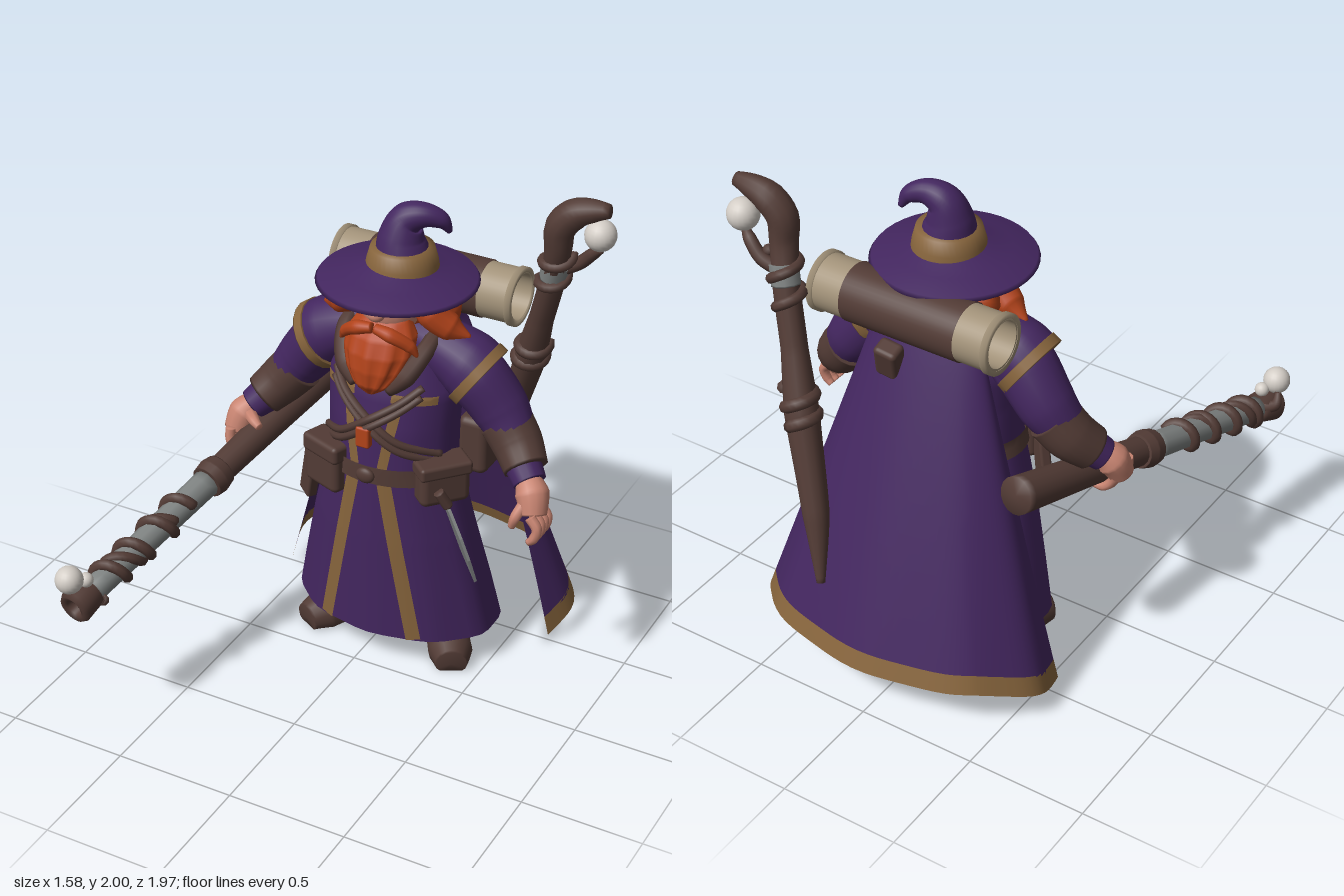
import * as THREE from 'three';
import { mergeVertices } from 'three/addons/utils/BufferGeometryUtils.js';
import { RoundedBoxGeometry } from 'three/addons/geometries/RoundedBoxGeometry.js';
import { ParametricGeometry } from 'three/addons/geometries/ParametricGeometry.js';

const CX = 0.055; // centre line of the figure
const V = (p) => new THREE.Vector3(...p);
const lerp = THREE.MathUtils.lerp;

// y, half width, half depth, centre z
const BODY = [
  [0.15, 0.44, 0.295, -0.305], [0.35, 0.40, 0.275, -0.285], [0.6, 0.345, 0.245, -0.255], [0.92, 0.268, 0.22, -0.235], [1.1, 0.27, 0.215, -0.24],
  [1.26, 0.28, 0.205, -0.255], [1.38, 0.25, 0.185, -0.275], [1.45, 0.18, 0.145, -0.275], [1.52, 0.08, 0.08, -0.25],
];
const BEARD = [
  [1.275, 0.015, 0.01, -0.03], [1.31, 0.065, 0.035, -0.03], [1.37, 0.11, 0.07, -0.06], [1.44, 0.14, 0.1, -0.1],
  [1.51, 0.14, 0.1, -0.13], [1.56, 0.11, 0.07, -0.15], [1.59, 0.1, 0.03, -0.16],
];

function section(list, y) {
  let i = 0;
  while (i < list.length - 2 && y > list[i + 1][0]) i++;
  const t = THREE.MathUtils.clamp((y - list[i][0]) / (list[i + 1][0] - list[i][0]), 0, 1);
  return [1, 2, 3].map((k) => lerp(list[i][k], list[i + 1][k], t));
}
const frontZ = (x, y) => {
  const [rx, rz, cz] = section(BODY, y);
  return cz + rz * Math.sqrt(Math.max(0, 1 - ((x - CX) / rx) ** 2));
};

// Elliptical loft between two heights, optionally grown outward
function loft(list, y0, y1, grow = 0, wave = 0, rows = 28) {
  return new ParametricGeometry((u, v, p) => {
    const y = lerp(y0, y1, v), a = -u * Math.PI * 2;
    const [rx, rz, cz] = section(list, y);
    const w = 1 + wave * (1 - v) * Math.cos(10 * a);
    p.set(CX + (rx * w + grow) * Math.sin(a), y, cz + (rz * w + grow) * Math.cos(a));
  }, 40, rows);
}

// Flat trim that follows the front of the robe
function trim(a, b, width) {
  const dir = new THREE.Vector2(b[0] - a[0], b[1] - a[1]).normalize();
  return new ParametricGeometry((u, v, p) => {
    const x = lerp(a[0], b[0], v) + dir.y * width * (u - 0.5);
    const y = lerp(a[1], b[1], v) - dir.x * width * (u - 0.5);
    p.set(x, y, frontZ(x, y) + 0.009);
  }, 4, 14);
}

// Tube with changing radius and closed ends
function sweep(points, radii, sides = 14, seg = points.length * 8) {
  const curve = new THREE.CatmullRomCurve3(points.map(V));
  const g = new THREE.TubeGeometry(curve, seg, 1, sides);
  const pos = g.attributes.position, v = new THREE.Vector3();
  for (let i = 0; i <= seg; i++) {
    const P = curve.getPointAt(i / seg);
    const k = curve.getUtoTmapping(i / seg) * (points.length - 1);
    const j = Math.min(Math.floor(k), points.length - 2);
    const end = i === 0 || i === seg;
    const r = end ? 0 : lerp(radii[j], radii[j + 1], k - j);
    const C = end ? curve.getPointAt(i === 0 ? 1 / seg : 1 - 1 / seg) : P;
    for (let s = 0; s <= sides; s++) {
      const n = i * (sides + 1) + s;
      v.fromBufferAttribute(pos, n).sub(P).multiplyScalar(r).add(C);
      pos.setXYZ(n, v.x, v.y, v.z);
    }
  }
  g.deleteAttribute('uv');
  g.deleteAttribute('normal');
  const m = mergeVertices(g, 1e-5);
  m.computeVertexNormals();
  return m;
}

// Vine winding round a straight line
function vine(a, b, radius, turns, thick) {
  const A = V(a), B = V(b), d = B.clone().sub(A).normalize();
  const n = new THREE.Vector3(0, 1, 0).cross(d).normalize(), m = d.clone().cross(n);
  const pts = [];
  for (let i = 0, N = turns * 10; i <= N; i++) {
    const t = (i / 10) * Math.PI * 2;
    pts.push(A.clone().lerp(B, i / N).addScaledVector(n, radius * Math.cos(t)).addScaledVector(m, radius * Math.sin(t)).toArray());
  }
  return sweep(pts, pts.map(() => thick), 8, pts.length * 2);
}

export function createModel() {
  const model = new THREE.Group();
  const mat = (name, color) => new THREE.MeshStandardMaterial({ name, color, side: THREE.DoubleSide });
  const purple = mat('purple cloth', 0x43265f), brown = mat('brown leather', 0x523b35), gold = mat('gold trim', 0x86643c);
  const tan = mat('tan canvas', 0xa3937a), skin = mat('skin', 0xc98572), orange = mat('orange hair', 0xb2431a);
  const steel = mat('steel', 0x7f8382), pearl = mat('pearl', 0xd3cdc6), dark = mat('dark', 0x2c1f1f);
  const add = (name, geo, m, at = [0, 0, 0], rot = [0, 0, 0], scale = [1, 1, 1]) => {
    const mesh = new THREE.Mesh(geo, m);
    mesh.name = name;
    mesh.position.set(...at); mesh.rotation.set(...rot); mesh.scale.set(...scale);
    model.add(mesh);
    return mesh;
  };
  const ball = (r) => new THREE.SphereGeometry(r, 20, 14);
  const box = (w, h, d) => new RoundedBoxGeometry(w, h, d, 3, Math.min(w, h, d) * 0.25);
  const lathe = (pts) => new THREE.LatheGeometry(pts.map((p) => new THREE.Vector2(...p)), 40);

  // Robe, belt and front trim
  add('robe', loft(BODY, 0.15, 1.52, 0, 0.012), purple);
  add('belt', loft(BODY, 0.88, 0.955, 0.014, 0, 2), brown);
  add('buckle', ball(0.04), brown, [CX, 0.92, 0.01], [0, 0, 0], [1, 0.85, 0.5]);
  for (const s of [-1, 1]) {
    const X = (d) => CX + s * d;
    add('skirtTrim', trim([X(0.2), 0.16], [X(0.07), 0.88], 0.058), gold);
    add('lapelTrim', trim([X(0.06), 0.95], [X(0.11), 1.25], 0.04), gold);
    add('chestTrim', trim([X(0.08), 1.26], [X(0.24), 1.25], 0.035), gold);
    // Straps crossing over the chest and running over the shoulder
    const strap = [[-0.26, 1.0], [-0.12, 1.08], [0, 1.17], [0.12, 1.25], [0.2, 1.32]];
    for (const off of [0, 0.035]) {
      add('chestStrap', sweep(strap.map(([d, y], i) => [X(d), y - off, frontZ(X(d), y - off) + 0.015 + (s > 0 ? 0.02 : 0.008) * (i === 2 ? 1.5 : 0.4)]),
        strap.map(() => 0.016), 8), brown);
    }
    add('shoulderStrap', sweep([[X(0.06), 1.29, -0.04], [X(0.13), 1.36, -0.07], [X(0.18), 1.46, -0.16], [X(0.18), 1.49, -0.27], [X(0.17), 1.44, -0.42]],
      [0.025, 0.04, 0.035, 0.035, 0.035], 8), brown);

    // Shoulder caps, arms and bracers
    add('shoulderCap', sweep([[X(0.03), 1.45, -0.27], [X(0.18), 1.42, -0.27], [X(0.3), 1.37, -0.27], [X(0.36), 1.325, -0.27]], [0.08, 0.115, 0.135, 0.138], 20), purple);
    add('shoulderTrim', sweep([[X(0.325), 1.348, -0.27], [X(0.365), 1.32, -0.27]], [0.145, 0.145], 20), gold);
    add('sleeve', sweep([[X(0.25), 1.38, -0.27], [X(0.34), 1.31, -0.28], [X(0.44), 1.19, -0.29], [X(0.53), 1.07, -0.26]], [0.12, 0.125, 0.113, 0.085], 18), purple);
    add('bracer', sweep([[X(0.455), 1.155, -0.29], [X(0.525), 1.075, -0.265], [X(0.595), 1.0, -0.21]], [0.108, 0.102, 0.088], 18), brown);
    add('cuff', sweep([[X(0.57), 1.02, -0.22], [X(0.625), 0.965, -0.18]], [0.078, 0.066], 16), purple);
    add('palm', sweep([[X(0.6), 0.99, -0.19], [X(0.645), 0.94, -0.155], [X(0.67), 0.86, -0.12]], [0.045, 0.068, 0.052], 14), skin);

    // Boots
    add('bootLeg', sweep([[X(0.205), 0.35, -0.3], [X(0.205), 0.16, -0.31], [X(0.21), 0.05, -0.31]], [0.09, 0.078, 0.085]), brown);
    const foot = sweep([[X(0.19), 0.055, -0.38], [X(0.235), 0.06, -0.28], [X(0.3), 0.045, -0.18], [X(0.345), 0.035, -0.1]], [0.06, 0.088, 0.092, 0.06], 16);
    const p = foot.attributes.position;
    for (let i = 0; i < p.count; i++) p.setY(i, Math.max(0, p.getY(i)));
    foot.computeVertexNormals();
    add('foot', foot, brown);

    // Face details and side hair
    add('eye', ball(0.012), dark, [X(0.045), 1.637, -0.082], [0, s * 0.35, 0], [1, 0.5, 0.3]);
    add('eyebrow', sweep([[X(0.018), 1.65, -0.077], [X(0.06), 1.667, -0.085], [X(0.11), 1.645, -0.12]], [0.008, 0.012, 0.005], 8), orange);
    add('moustache', sweep([[X(0.0), 1.55, -0.055], [X(0.07), 1.535, -0.055], [X(0.14), 1.485, -0.09], [X(0.17), 1.44, -0.1]], [0.02, 0.03, 0.025, 0.004], 10), orange);
    add('sideHair', sweep([[X(0.13), 1.66, -0.21], [X(0.17), 1.59, -0.21], [X(0.24), 1.53, -0.23], [X(0.325), 1.495, -0.25]], [0.045, 0.066, 0.056, 0.004], 12), orange);
    add('backHair', sweep([[X(0.12), 1.66, -0.27], [X(0.16), 1.56, -0.33], [X(0.17), 1.46, -0.4]], [0.06, 0.08, 0.02], 12), orange);
  }

  // Fingers: relaxed left hand, right hand gripping the staff
  for (let i = 0; i < 4; i++) {
    const z = -0.17 + i * 0.033;
    add('leftFinger', sweep([[0.73, 0.89, z], [0.765, 0.845, z + 0.005], [0.755, 0.8, z + 0.01], [0.73, 0.775, z + 0.01]], [0.022, 0.021, 0.019, 0.014], 8), skin);
    add('rightFinger', sweep([[-0.61, 0.91, z], [-0.605, 0.85, z + 0.01], [-0.56, 0.8, z + 0.01], [-0.51, 0.795, z + 0.01]], [0.022, 0.021, 0.019, 0.014], 8), skin);
  }
  add('leftThumb', sweep([[0.69, 0.92, -0.12], [0.665, 0.86, -0.08], [0.65, 0.81, -0.08]], [0.025, 0.022, 0.014], 8), skin);
  add('rightThumb', sweep([[-0.56, 0.95, -0.14], [-0.51, 0.955, -0.09], [-0.47, 0.94, -0.07]], [0.03, 0.024, 0.015], 8), skin);

  // Head, beard and hair
  add('head', ball(0.125), skin, [CX, 1.6, -0.2], [0, 0, 0], [1, 1.05, 1]);
  add('nose', ball(0.034), skin, [CX, 1.6, -0.075], [0, 0, 0], [1.05, 0.9, 1]);
  add('beard', loft(BEARD, 1.275, 1.59, 0, 0.08, 20), orange);
  add('beardBead', box(0.06, 0.09, 0.04), orange, [CX - 0.005, 1.1, 0.012]);
  add('hair', ball(0.16), orange, [CX, 1.58, -0.3], [0, 0, 0], [1, 0.85, 0.85]);

  // Hat with curled tip
  add('hatBrim', lathe([[0.001, 1.665], [0.2, 1.675], [0.3, 1.668], [0.32, 1.674], [0.31, 1.688], [0.22, 1.712], [0.15, 1.735], [0.1, 1.755]]), purple, [CX, 0, -0.25]);
  add('hatBand', lathe([[0.144, 1.73], [0.14, 1.755], [0.125, 1.81], [0.09, 1.813]]), gold, [CX + 0.012, 0, -0.265]);
  add('hatCrown', sweep([[0.068, 1.75, -0.267], [0.06, 1.85, -0.27], [0.08, 1.92, -0.28], [0.145, 1.945, -0.295], [0.205, 1.925, -0.32], [0.235, 1.87, -0.34]],
    [0.118, 0.09, 0.067, 0.049, 0.034, 0.008], 20), purple);

  // Cape with gold hem
  const capePoint = (u, t, p, grow) => {
    const a = (0.5 - u) * 2 * lerp(1.65, 1.88, t), c = Math.cos(a);
    const bottom = 0.05 + 0.135 * THREE.MathUtils.clamp(c + 0.31, 0, 1);
    const r = 1 + 0.012 * t * Math.cos(a * 9);
    p.set(CX + lerp(0.225, 0.645, t) * Math.sin(a) * r, lerp(1.48, bottom, t), lerp(-0.42, -0.585, t) - (lerp(0.05, 0.39, t ** 0.9) + grow) * c * r);
  };
  const cape = (t0, t1, rows, grow = 0) => new ParametricGeometry((u, v, p) => capePoint(u, lerp(t0, t1, v), p, grow), 48, rows);
  add('cape', cape(0, 0.95, 20), purple);
  add('capeHem', cape(0.943, 1, 2, 0.003), gold);
  add('capePouch', box(0.1, 0.15, 0.08), brown, [CX + 0.1, 1.34, -0.54], [-0.3, 0, 0.15]);

  // Hollow bedroll
  const roll = (name, y0, y1, r, m) => add(name, lathe([[r - 0.02, y0], [r, y0], [r, y1], [r - 0.02, y1], [r - 0.02, y0]]), m, [0.065, 1.57, -0.515], [0, 0, -Math.PI / 2]);
  roll('bedrollCanvas', -0.395, 0.395, 0.112, tan);
  roll('bedrollCover', -0.25, 0.25, 0.117, brown);
  for (const s of [-1, 1]) roll('bedrollRim', s * 0.385 - 0.012, s * 0.385 + 0.012, 0.12, tan);

  // Pouches, sheath and knife
  add('frontPouch', box(0.19, 0.2, 0.11), brown, [-0.15, 0.88, -0.07], [0, -0.35, 0]);
  add('pouchFlap', box(0.2, 0.08, 0.12), brown, [-0.15, 0.96, -0.068], [0, -0.35, 0]);
  add('sidePouch', box(0.21, 0.18, 0.12), brown, [0.32, 0.905, -0.13], [0, 0.85, 0]);
  add('sidePouchFlap', box(0.22, 0.06, 0.13), brown, [0.32, 0.97, -0.13], [0, 0.85, 0]);
  add('backPouch', box(0.13, 0.25, 0.16), brown, [0.35, 0.955, -0.405]);
  add('sheath', box(0.08, 0.25, 0.045), brown, [-0.275, 0.765, -0.14], [0, -0.6, -0.25]);
  const blade = new THREE.Shape([[-0.035, 0], [0.04, 0], [0.065, -0.12], [0.06, -0.22], [0.02, -0.33], [-0.04, -0.2]].map((p) => new THREE.Vector2(...p)));
  add('knifeBlade', new THREE.ExtrudeGeometry(blade, { depth: 0.012, bevelEnabled: false }), steel, [0.38, 0.82, -0.08], [0.4, -0.75, 0.55]);
  add('knifeHandle', sweep([[0.38, 0.82, -0.08], [0.345, 0.9, -0.05]], [0.022, 0.022], 8), brown);

  // Held staff
  const at = (t) => [lerp(-0.43, -0.715, t), lerp(0.985, 0.6, t), lerp(-0.62, 0.92, t)];
  add('staffHandle', sweep([at(0), at(0.25), at(0.5)], [0.076, 0.066, 0.058], 16), brown);
  add('staffCollar', sweep([at(0.46), at(0.49), at(0.52)], [0.068, 0.078, 0.07], 16), brown);
  add('staffCore', sweep([at(0.48), at(0.97)], [0.06, 0.05], 10), steel);
  add('staffVine', vine(at(0.6), at(0.95), 0.056, 4, 0.023), brown);
  add('staffVineStrand', vine(at(0.66), at(0.96), 0.05, 2, 0.02), brown);
  const mouth = add('staffMouth', lathe([[0.04, -0.06], [0.062, -0.06], [0.072, 0.03], [0.06, 0.05], [0.035, 0.04], [0.03, -0.05]]), brown, at(0.985));
  mouth.quaternion.setFromUnitVectors(new THREE.Vector3(0, 1, 0), V(at(1)).sub(V(at(0))).normalize());
  add('staffClaw', sweep([at(0.96), [-0.77, 0.65, 0.86], [-0.765, 0.7, 0.89]], [0.03, 0.024, 0.012], 8), brown);
  add('staffOrb', ball(0.056), pearl, [-0.735, 0.72, 0.93]);
  add('staffPebble', ball(0.03), pearl, [-0.7, 0.695, 0.87]);

  // Carried staff on the back
  add('backStaff', sweep([[0.2, 0.51, -0.965], [0.27, 0.78, -0.885], [0.39, 1.15, -0.785], [0.46, 1.38, -0.72], [0.53, 1.62, -0.66], [0.56, 1.76, -0.62],
    [0.57, 1.86, -0.61], [0.625, 1.925, -0.615], [0.7, 1.952, -0.62], [0.785, 1.965, -0.625]],
  [0.014, 0.052, 0.068, 0.052, 0.052, 0.055, 0.063, 0.062, 0.046, 0.022], 12), brown);
  add('backStaffKnot', vine([0.375, 1.11, -0.8], [0.42, 1.25, -0.76], 0.057, 2, 0.026), brown);
  add('backStaffVine', vine([0.505, 1.53, -0.68], [0.56, 1.74, -0.63], 0.056, 2, 0.021), brown);
  add('backStaffInlay', sweep([[0.525, 1.6, -0.665], [0.548, 1.69, -0.645]], [0.057, 0.057], 10), steel);
  add('backStaffBranch', sweep([[0.55, 1.65, -0.65], [0.63, 1.69, -0.67], [0.69, 1.75, -0.66], [0.74, 1.79, -0.63]], [0.03, 0.028, 0.025, 0.01], 8), brown);
  add('backStaffOrb', ball(0.064), pearl, [0.72, 1.84, -0.65]);

  return model;
}
